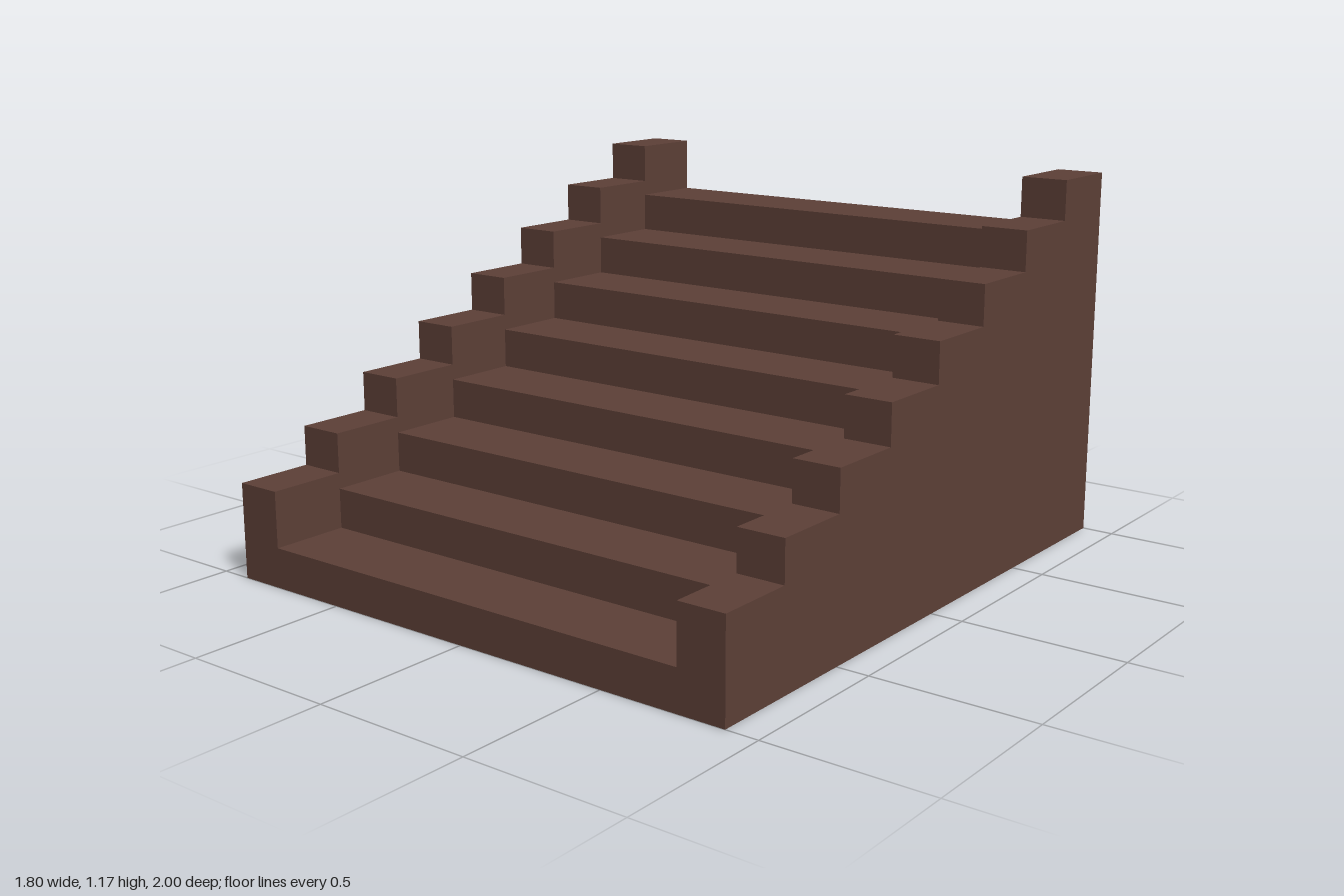
import * as THREE from 'three';

const STEPS = 8, DEPTH = 0.25, RISE = 0.125;
const TREAD_WIDTH = 1.5, CURB_WIDTH = 0.15, CURB_RISE = 0.175;
// Face order in a box geometry
const RIGHT = 0, LEFT = 1, TOP = 2, FRONT = 4, BACK = 5;

// Hollow block standing on y = 0 that keeps only the listed faces
function shell(name, material, width, height, x, z, faces) {
  const geometry = new THREE.BoxGeometry(width, height, DEPTH);
  const all = Array.from(geometry.index.array);
  geometry.setIndex(faces.flatMap((f) => all.slice(f * 6, f * 6 + 6)));
  geometry.clearGroups();
  const mesh = new THREE.Mesh(geometry, material);
  mesh.name = name;
  mesh.position.set(x, height / 2, z);
  return mesh;
}

export function createModel() {
  const model = new THREE.Group();
  model.name = 'staircase';
  const brown = new THREE.MeshStandardMaterial({ color: 0x5d4037, side: THREE.DoubleSide });
  brown.name = 'dark brown';

  const steps = new THREE.Group();
  steps.name = 'steps';
  const curbs = { 1: new THREE.Group(), '-1': new THREE.Group() };
  curbs[1].name = 'leftCurb';
  curbs[-1].name = 'rightCurb';

  for (let i = 0; i < STEPS; i++) {
    const z = 1 - DEPTH * (i + 0.5);
    const height = RISE * (i + 1);
    // Only the last row is closed at the back; every block is open below
    const back = i === STEPS - 1 ? [BACK] : [];

    steps.add(shell('step', brown, TREAD_WIDTH, height, 0, z, [TOP, FRONT, ...back]));

    // Stepped curbs at both sides
    for (const side of [1, -1]) {
      const x = side * (TREAD_WIDTH + CURB_WIDTH) / 2;
      curbs[side].add(shell('curbBlock', brown, CURB_WIDTH, height + CURB_RISE, x, z,
        [RIGHT, LEFT, TOP, FRONT, ...back]));
    }
  }

  model.add(steps, curbs[1], curbs[-1]);
  return model;
}
